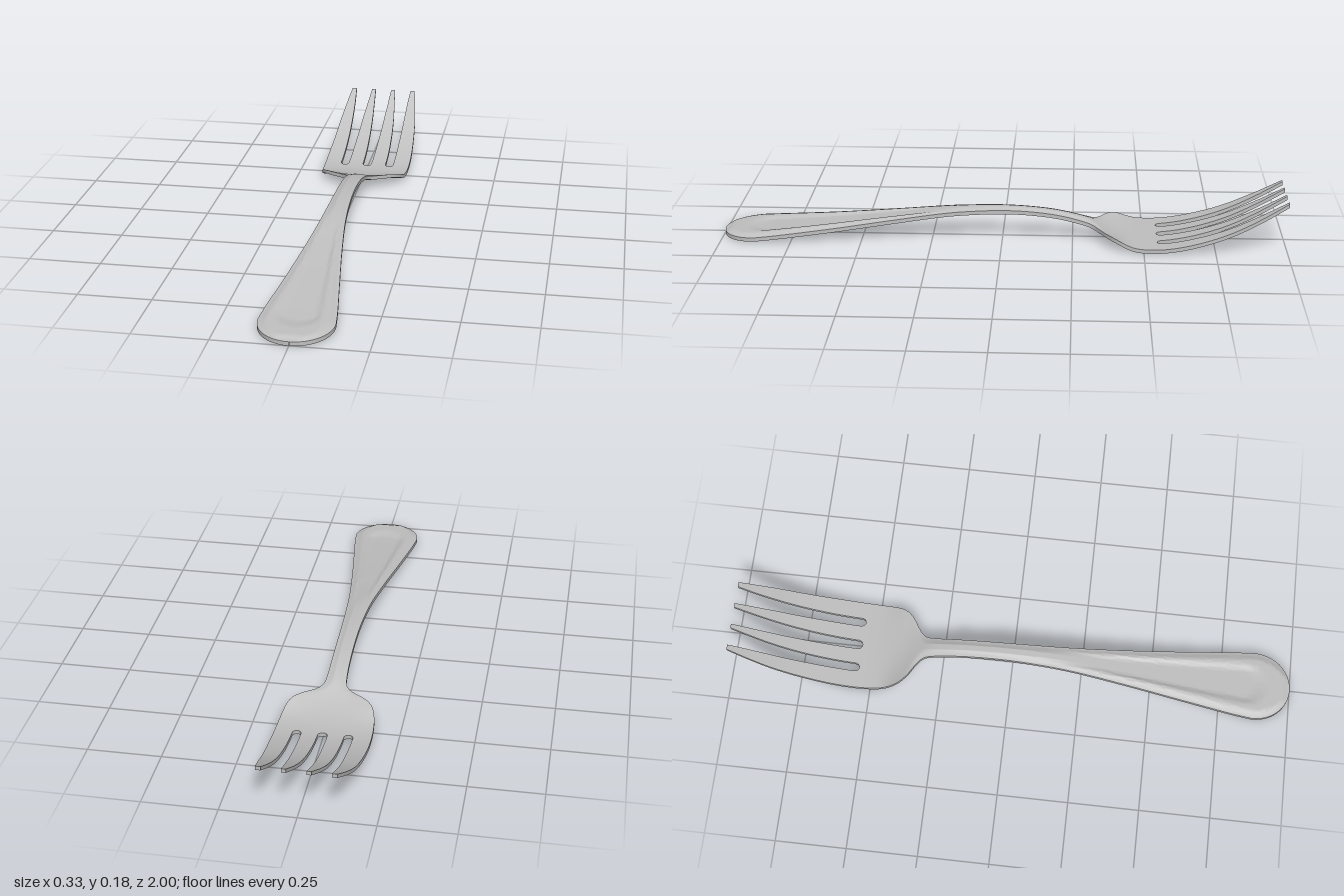
import * as THREE from 'three';
import { toCreasedNormals } from 'three/addons/utils/BufferGeometryUtils.js';

const { smoothstep } = THREE.MathUtils;

// Smooth curve through [z, value] pairs
function curve(pts) {
  const slope = (i) => {
    const a = pts[Math.max(i - 1, 0)], b = pts[Math.min(i + 1, pts.length - 1)];
    return (b[1] - a[1]) / (b[0] - a[0]);
  };
  return (z) => {
    let i = 0;
    while (i < pts.length - 2 && z > pts[i + 1][0]) i++;
    const [z0, v0] = pts[i], [z1, v1] = pts[i + 1], h = z1 - z0;
    const t = THREE.MathUtils.clamp((z - z0) / h, 0, 1), s = 1 - t;
    return v0 * (1 + 2 * t) * s * s + slope(i) * h * t * s * s
      + v1 * (3 - 2 * t) * t * t - slope(i + 1) * h * t * t * s;
  };
}

// Side profile: height of the middle of the metal
const middle = curve([[-1, 0.175], [-0.9, 0.119], [-0.8, 0.071], [-0.7, 0.037], [-0.6, 0.015],
  [-0.52, 0.009], [-0.45, 0.015], [-0.4, 0.026], [-0.35, 0.042], [-0.3, 0.06], [-0.2, 0.084],
  [-0.1, 0.096], [0, 0.1], [0.1, 0.097], [0.2, 0.09], [0.4, 0.066], [0.6, 0.042], [0.8, 0.022],
  [0.9, 0.014], [1, 0.009]]);

// Outline: half width, with a rounded handle end
const outline = curve([[-1, 0.128], [-0.94, 0.138], [-0.85, 0.15], [-0.7, 0.16], [-0.6, 0.163],
  [-0.5, 0.161], [-0.44, 0.154], [-0.4, 0.138], [-0.37, 0.108], [-0.345, 0.068], [-0.325, 0.045],
  [-0.3, 0.036], [-0.2, 0.032], [0, 0.033], [0.2, 0.043], [0.4, 0.064], [0.6, 0.09],
  [0.8, 0.117], [0.87, 0.124]]);
const halfWidth = (z) => z < 0.87 ? outline(z)
  : 0.124 * Math.sqrt(Math.max(1 - ((z - 0.87) / 0.13) ** 2, 0.0001));

// Teardrop hollow stamped into the handle
function hollow(x, z) {
  const u = Math.abs(x) / halfWidth(z);
  return (1 - smoothstep(u, 0.4, 0.66)) * (1 - smoothstep(z + x * x * 8, 0.86, 0.93))
    * smoothstep(z, 0.08, 0.4);
}

// Upper (side = 1) and lower (side = -1) skins
function skin(x, z, side) {
  const inset = Math.min(halfWidth(z) - Math.abs(x), 1 - z);
  const swell = smoothstep(inset, 0, 0.032) * smoothstep(z, -0.4, -0.27);
  const dome = side > 0 ? 0.009 : 0.006 * (1 - smoothstep(z, 0.2, 0.6));
  const lift = 0.8 * x * x * smoothstep(z, -0.48, -0.37) * (1 - smoothstep(z, -0.36, -0.31));
  return middle(z) + lift + side * (0.007 + dome * swell)
    - hollow(x, z) * (side > 0 ? 0.008 : 0.004);
}

// Closed slab between two edges, lofted along z
function slab(name, zs, left, right, columns, capped, material) {
  const pos = [], idx = [], n = columns + 1, ring = 2 * n;
  zs.forEach((z, i) => {
    for (let j = 0; j < ring; j++) {
      const top = j < n, k = top ? j : ring - 1 - j;
      const x = THREE.MathUtils.lerp(left(z), right(z), k / columns);
      pos.push(x, skin(x, z, top ? 1 : -1), z);
      if (i < zs.length - 1) {
        const a = i * ring + j, b = i * ring + (j + 1) % ring;
        idx.push(a, a + ring, b, b, a + ring, b + ring);
      }
    }
  });
  if (capped) {
    for (let j = 0; j < columns; j++) {
      const b = ring - 1 - j;
      idx.push(j, j + 1, b, j + 1, b - 1, b);
    }
  }
  const g = new THREE.BufferGeometry();
  g.setAttribute('position', new THREE.Float32BufferAttribute(pos, 3));
  g.setIndex(idx);
  const mesh = new THREE.Mesh(toCreasedNormals(g, 0.8), material);
  mesh.name = name;
  return mesh;
}

const steps = (a, b, n) => Array.from({ length: n + 1 }, (_, i) => a + (b - a) * i / n);

export function createModel() {
  const group = new THREE.Group();
  group.name = 'fork';
  const steel = new THREE.MeshStandardMaterial({ color: 0xc0c0c0 });
  steel.name = 'steel';
  const root = -0.548;

  // Handle, neck and shoulders in one piece
  const rows = [...steps(root, 0.86, 130),
    ...steps(0, Math.PI / 2, 28).map((t) => 0.87 + 0.13 * Math.sin(t))];
  group.add(slab('handleAndHead', rows, (z) => -halfWidth(z), halfWidth, 36, false, steel));

  // Tine edges; the slots between them have round ends
  const round = (z) => Math.sqrt(Math.max(1 - (1 - Math.min((root - z) / 0.016, 1)) ** 2, 0));
  const slotEdge = (centre, edge) => (z) => centre + (edge(z) - centre) * round(z);
  const innerNear = slotEdge(0, curve([[-1, 0.032], [-0.94, 0.028], [-0.85, 0.023], [-0.7, 0.018], [-0.55, 0.016]]));
  const innerFar = slotEdge(0.087, curve([[-1, 0.047], [-0.94, 0.054], [-0.85, 0.063], [-0.7, 0.07], [-0.55, 0.072]]));
  const outerNear = slotEdge(0.087, curve([[-1, 0.111], [-0.94, 0.107], [-0.85, 0.104], [-0.7, 0.102], [-0.55, 0.102]]));
  const tineRows = [...steps(-1, root - 0.018, 36),
    ...steps(0, Math.PI / 2, 8).map((t) => root - 0.016 * (1 - Math.sin(t)))];

  for (const [name, near, far] of [['InnerTine', innerNear, innerFar], ['OuterTine', outerNear, halfWidth]]) {
    group.add(slab('left' + name, tineRows, near, far, 6, true, steel));
    group.add(slab('right' + name, tineRows, (z) => -far(z), (z) => -near(z), 6, true, steel));
  }
  return group;
}
